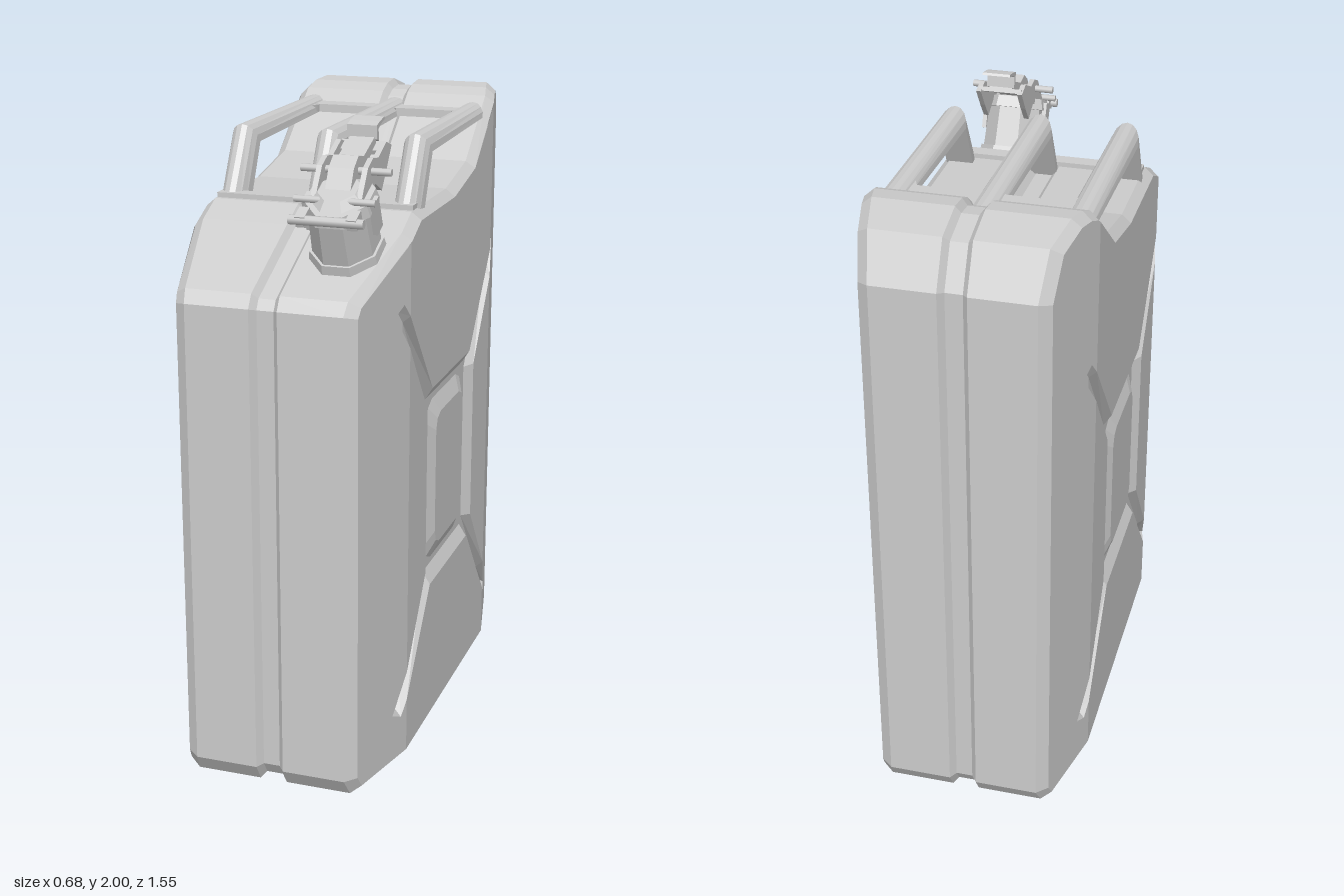
import * as THREE from 'three';

const material = new THREE.MeshStandardMaterial({ color: 0xcccccc, side: THREE.DoubleSide });
const FOLD = 0.46; // the sides taper beyond this z
const halfWidth = z => 0.34 - 0.07 * Math.max(0, Math.abs(z) - FOLD) / 0.315;

function add(parent, name, geometry, x = 0, y = 0, z = 0) {
  const mesh = new THREE.Mesh(geometry, material);
  mesh.name = name;
  mesh.position.set(x, y, z);
  parent.add(mesh);
  return mesh;
}

// Flat-faced triangle collector
function soup() {
  const pos = [];
  const tri = (a, b, c) => pos.push(...a, ...b, ...c);
  const geometry = () => {
    const g = new THREE.BufferGeometry();
    g.setAttribute('position', new THREE.Float32BufferAttribute(pos, 3));
    g.computeVertexNormals();
    return g;
  };
  return { tri, geometry };
}

// Shrinks a counter-clockwise loop of [z, y] by distance d
function inset(loop, d) {
  const n = loop.length;
  const normal = (a, b) => {
    const l = Math.hypot(b[0] - a[0], b[1] - a[1]);
    return [(a[1] - b[1]) / l, (b[0] - a[0]) / l];
  };
  return loop.map((p, i) => {
    const u = normal(loop[(i + n - 1) % n], p), v = normal(p, loop[(i + 1) % n]);
    const k = d / (1 + u[0] * v[0] + u[1] * v[1]);
    return [p[0] + (u[0] + v[0]) * k, p[1] + (u[1] + v[1]) * k];
  });
}

// Mirrors a quarter outline into a full loop around the panel centre
function fourfold(q, cy = 0.82) {
  const r = [...q].reverse();
  const place = (pts, sz, sy) => pts.map(([z, y]) => [z * sz, cy + y * sy]);
  return [...place(q, 1, 1), ...place(r, -1, 1), ...place(q, -1, -1), ...place(r, 1, -1)];
}

// Keeps the part of a polygon where s * z <= s * limit
function clip(poly, limit, s) {
  const out = [];
  poly.forEach((a, i) => {
    const b = poly[(i + 1) % poly.length];
    const da = s * (a[0] - limit), db = s * (b[0] - limit);
    if (da <= 0) out.push(a);
    if (da * db < 0) out.push([limit, a[1] + (b[1] - a[1]) * da / (da - db)]);
  });
  return out;
}

function bodyGeometry() {
  const { tri, geometry } = soup();
  // Every triangle is made on both halves of the can
  const both = (a, b, c) => {
    const m = ([x, y, z]) => [-x, y, z];
    tri(a, b, c);
    tri(m(a), m(c), m(b));
  };
  const band = (A, B) => A.forEach((a, i) => {
    const j = (i + 1) % A.length;
    both(a, B[i], A[j]);
    both(A[j], B[i], B[j]);
  });
  const at = (loop, x) => loop.map(([z, y]) => [x, y, z]);
  const onSide = (loop, depth) => loop.map(([z, y]) => [halfWidth(z) - depth, y, z]);
  const face = (outline, holes, depth) => {
    const vec = l => l.map(p => new THREE.Vector2(...p));
    const all = [outline, ...holes].flat();
    for (const t of THREE.ShapeUtils.triangulateShape(vec(outline), holes.map(vec))) {
      let p = t.map(i => all[i]);
      if (THREE.ShapeUtils.area(vec(p)) > 0) p = p.reverse();
      for (const [lo, hi] of [[-9, -FOLD], [-FOLD, FOLD], [FOLD, 9]]) {
        const q = onSide(clip(clip(p, hi, 1), lo, -1), depth);
        for (let i = 2; i < q.length; i++) both(q[0], q[i - 1], q[i]);
      }
    }
  };

  // Shell: centre seam, front/top/back/bottom, bevel
  const profile = [
    [-0.74, 0.005], [-FOLD, 0], [FOLD, 0], [0.74, 0.005], [0.775, 0.06], [0.775, 1.51], [0.75, 1.55],
    [FOLD, 1.688], [0.365, 1.732], [0, 1.732], [-0.23, 1.778], [-FOLD, 1.955], [-0.51, 1.975],
    [-0.58, 1.982], [-0.705, 1.947], [-0.775, 1.81], [-0.775, 0.06],
  ];
  const seam = inset(profile, 0.02), rim = inset(profile, 0.025);
  const rings = [at(seam, 0), at(seam, 0.026), at(profile, 0.043), onSide(profile, 0.03), onSide(rim, 0)];
  for (let i = 1; i < rings.length; i++) band(rings[i - 1], rings[i]);

  // Pressed cross with a raised centre plate
  const edge = fourfold([[0.27, 0.27], [FOLD, 0.525], [0.546, 0.64], [0.495, 0.665], [FOLD, 0.623], [0.217, 0.33]]);
  const floor = fourfold([[0.235, 0.266], [FOLD, 0.547], [0.52, 0.622], [0.49, 0.64], [FOLD, 0.6015], [0.217, 0.29]]);
  const plate = (hz, hy, c) => fourfold([[hz, hy - c], [hz - 0.3 * c, hy - 0.3 * c], [hz - c, hy]]);
  const plateFoot = plate(0.2, 0.27, 0.065), plateTop = plate(0.155, 0.222, 0.05);
  face(rim, [edge], 0);
  band(onSide(edge, 0), onSide(floor, 0.025));
  face(floor, [plateFoot], 0.025);
  band(onSide(plateFoot, 0.025), onSide(plateTop, 0.004));
  face(plateTop, [], 0.004);
  return geometry();
}

// Half-round bar bent down into a front leg; stations hold outer and inner [z, y]
function handleGeometry() {
  const stations = [
    [[-0.46, 1.936], [-0.46, 1.894]],
    [[0.225, 1.936], [0.185, 1.88]],
    [[0.355, 1.715], [0.265, 1.715]],
  ];
  const { tri, geometry } = soup();
  const steps = 8;
  const rings = stations.map(([o, n]) => Array.from({ length: steps + 1 }, (_, i) => {
    const a = Math.PI * i / steps, k = Math.sin(a);
    return [0.044 * Math.cos(a), n[1] + (o[1] - n[1]) * k, n[0] + (o[0] - n[0]) * k];
  }));
  for (let r = 1; r < rings.length; r++) {
    const A = rings[r - 1], B = rings[r];
    A.forEach((a, i) => {
      const j = (i + 1) % A.length;
      tri(a, A[j], B[i]);
      tri(A[j], B[j], B[i]);
    });
  }
  return geometry();
}

// Plate cut from a [z, y] outline, centred across x
function plateGeometry(points, thickness) {
  const shape = new THREE.Shape(points.map(p => new THREE.Vector2(...p)));
  return new THREE.ExtrudeGeometry(shape, { depth: thickness, bevelEnabled: false })
    .translate(0, 0, -thickness / 2).rotateY(-Math.PI / 2);
}

function octagon(topRadius, bottomRadius, height, depthScale) {
  return new THREE.CylinderGeometry(topRadius, bottomRadius, height, 8)
    .rotateY(Math.PI / 8).scale(1, 1, depthScale).toNonIndexed();
}

function createSpout() {
  const spout = new THREE.Group();
  spout.name = 'spout';
  const flat = (...args) => { const m = add(spout, ...args); m.geometry.computeVertexNormals(); };
  flat('neckFlange', octagon(0.107, 0.112, 0.03, 1.1), 0, 0.01, 0);
  flat('neck', octagon(0.092, 0.1, 0.16, 1.12), 0, 0.08, 0);
  flat('lid', octagon(0.1, 0.108, 0.035, 1.15), 0, 0.172, -0.01);
  flat('lidCrown', octagon(0.06, 0.085, 0.025, 1.15), 0, 0.2, -0.01);

  // Locking lever: tongue, side arms and finger tab
  add(spout, 'leverTongue', plateGeometry([[0.06, 0.19], [0, 0.212], [-0.05, 0.252], [-0.1, 0.262],
    [-0.14, 0.235], [-0.25, 0.23], [-0.25, 0.205], [-0.14, 0.2], [-0.08, 0.19]], 0.075));
  for (const s of [-1, 1]) {
    add(spout, 'leverArm', plateGeometry([[0.05, 0.18], [0, 0.215], [-0.06, 0.25], [-0.11, 0.25],
      [-0.15, 0.225], [-0.23, 0.225], [-0.27, 0.19], [-0.2, 0.15], [-0.14, 0.12], [-0.1, 0.17]], 0.016), s * 0.068);
    add(spout, 'neckBracket', new THREE.BoxGeometry(0.014, 0.1, 0.05), s * 0.1, 0.13, -0.005);
    add(spout, 'hingeLug', new THREE.BoxGeometry(0.03, 0.035, 0.05), s * 0.075, 0.185, 0.1);
  }
  add(spout, 'leverBridge', new THREE.BoxGeometry(0.14, 0.014, 0.05), 0, 0.2, -0.235);
  add(spout, 'fingerTab', plateGeometry([[-0.24, 0.225], [-0.255, 0.262], [-0.285, 0.258], [-0.325, 0.248],
    [-0.327, 0.24], [-0.285, 0.246], [-0.265, 0.245], [-0.255, 0.21]], 0.09));

  // Cross pins
  for (const [y, z, length, r] of [[0.222, -0.085, 0.27, 0.011], [0.2, 0.035, 0.24, 0.01], [0.188, 0.118, 0.22, 0.014]])
    add(spout, 'crossPin', new THREE.CylinderGeometry(r, r, length, 8).rotateZ(Math.PI / 2), 0, y, z);

  spout.position.set(0.177, 1.645, 0.55);
  spout.rotation.x = 0.42;
  return spout;
}

export function createModel() {
  const model = new THREE.Group();
  model.name = 'fuelCan';
  add(model, 'body', bodyGeometry());

  // Three carrying bars tied together at both ends
  const handles = new THREE.Group();
  handles.name = 'handles';
  for (const x of [-0.276, 0, 0.276]) add(handles, 'handleBar', handleGeometry(), x);
  add(handles, 'rearTie', new THREE.BoxGeometry(0.56, 0.026, 0.1), 0, 1.906, -0.392);
  add(handles, 'frontTie', new THREE.BoxGeometry(0.62, 0.03, 0.05), 0, 1.732, 0.325);
  for (const x of [-0.276, 0, 0.276])
    add(handles, 'tieGusset', new THREE.CylinderGeometry(0.075, 0.075, 0.024, 3).scale(x ? 0.75 : 1, 1, 1), x * 0.93, 1.906, -0.35);
  model.add(handles);

  model.add(createSpout());
  return model;
}
